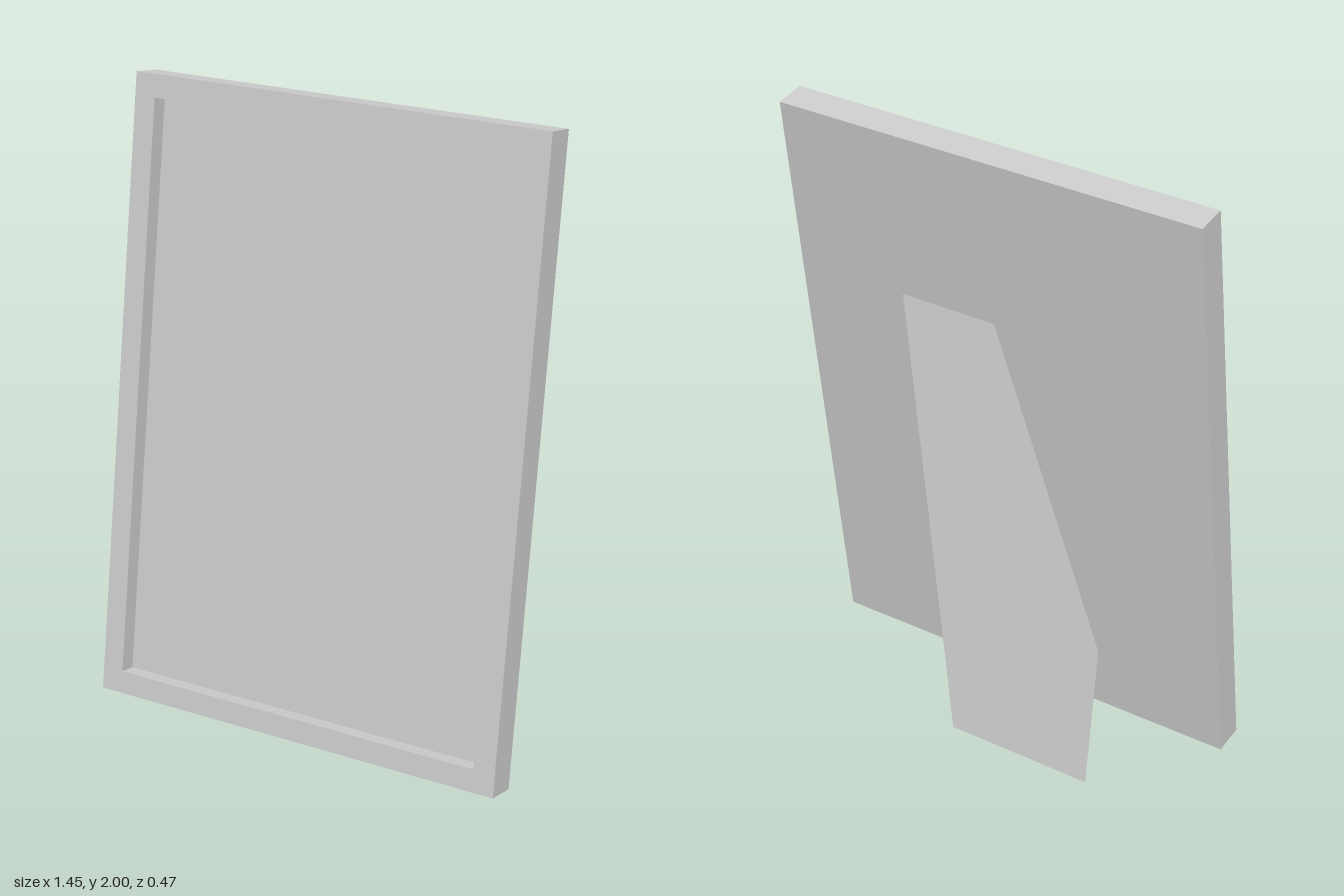
import * as THREE from 'three';

export function createModel() {
  const W = 1.445, H = 2.005, D = 0.1; // frame size
  const border = 0.073, recess = 0.055;
  const tilt = 0.1337; // backward lean in radians
  const group = new THREE.Group();
  group.name = 'standingFrame';
  const material = new THREE.MeshStandardMaterial({ color: 0xcccccc });

  const add = (parent, name, geometry, mat = material) => {
    const mesh = new THREE.Mesh(geometry, mat);
    mesh.name = name;
    parent.add(mesh);
    return mesh;
  };
  const polygon = (Type, points) => new Type(points.map(([x, y]) => new THREE.Vector2(x, y)));
  const rectangle = (Type, inset) => {
    const x = W / 2 - inset, y0 = inset, y1 = H - inset;
    return polygon(Type, [[-x, y0], [x, y0], [x, y1], [-x, y1]]);
  };

  // Leaning frame, pivoted on its lower back edge
  const frame = new THREE.Group();
  frame.name = 'frame';
  frame.position.z = 0.138;
  frame.rotation.x = -tilt;
  group.add(frame);

  // Border with the picture opening
  const outline = rectangle(THREE.Shape, 0);
  outline.holes.push(rectangle(THREE.Path, border));
  add(frame, 'border', new THREE.ExtrudeGeometry(outline, { depth: D, bevelEnabled: false }));

  // Picture panel set back inside the opening, flush at the rear
  const panel = add(frame, 'picturePanel',
    new THREE.BoxGeometry(W - 2 * border, H - 2 * border, D - recess));
  panel.position.set(0, H / 2, (D - recess) / 2);

  // Thin easel leg, hinged on the back of the frame and reaching the ground
  const topY = 1.42, topZ = -0.052, footZ = -0.237;
  const length = Math.hypot(topY, footZ - topZ);
  const legShape = polygon(THREE.Shape, [
    [0.05, 0], [0.344, length], [0.014, length], [-0.45, 0.475], [-0.45, 0],
  ]);
  const leg = add(group, 'easelLeg', new THREE.ShapeGeometry(legShape),
    new THREE.MeshStandardMaterial({ color: 0xcccccc, side: THREE.DoubleSide }));
  leg.position.z = footZ;
  leg.rotation.x = Math.atan2(topZ - footZ, topY);

  return group;
}
